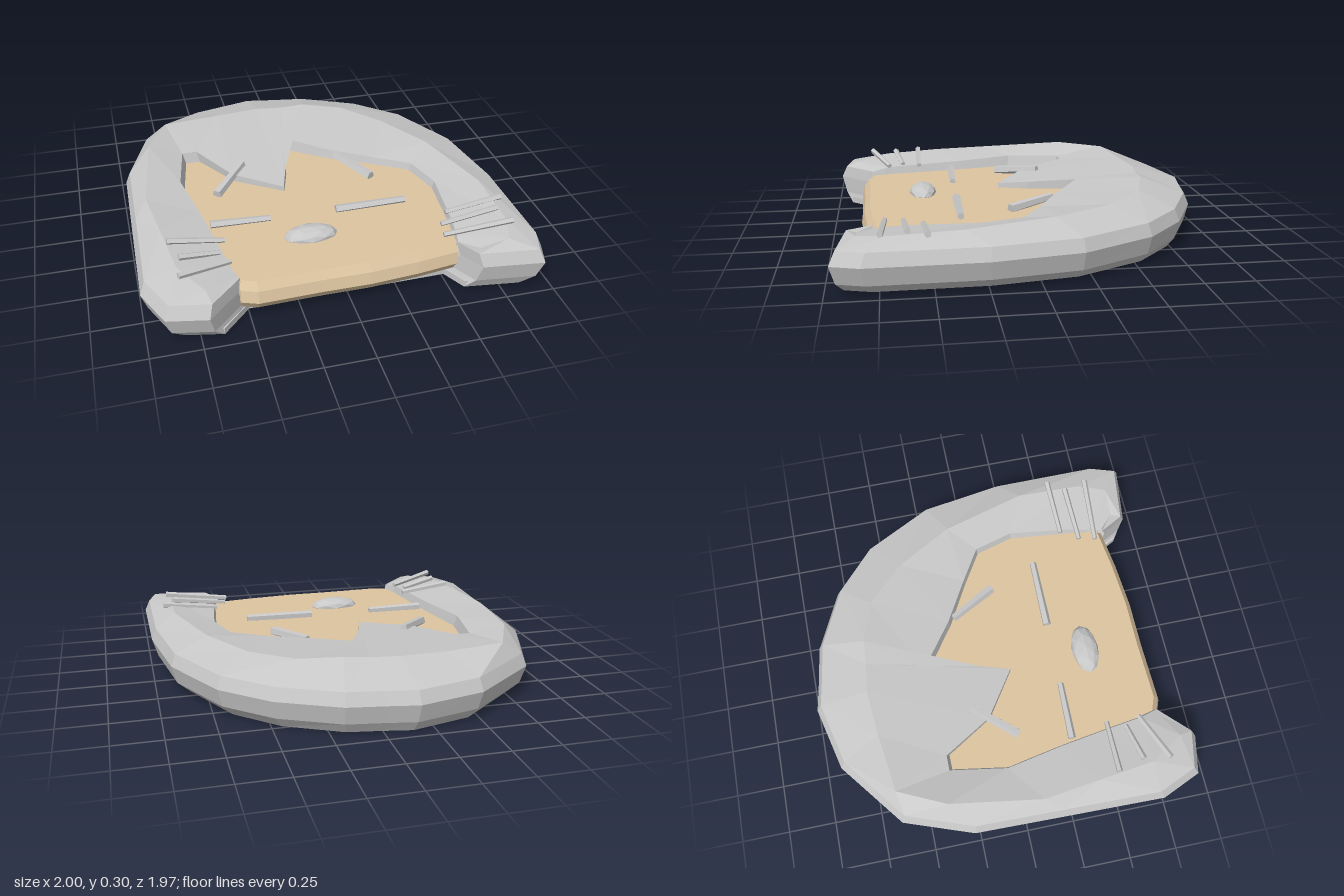
import * as THREE from 'three';

// Hair stations run from the left-hand foot, round the back, to the other foot.
// Outer outline as [x, z]
const OUTER = [
  [-0.55, 0.82], [-0.71, 0.98], [-0.91, 0.94], [-1, 0.73], [-0.99, 0.2], [-0.98, -0.28], [-0.85, -0.64],
  [-0.5, -0.91], [-0.16, -0.99], [0, -0.96], [0.19, -0.93], [0.5, -0.78], [0.73, -0.57], [0.92, -0.2],
  [0.99, 0.25], [0.995, 0.83], [0.95, 0.97], [0.64, 0.93], [0.57, 0.8],
];
// Crest of the hair as [x, y, z]
const RIDGE = [
  [-0.57, 0.22, 0.8], [-0.71, 0.24, 0.88], [-0.82, 0.26, 0.7], [-0.86, 0.27, 0.4], [-0.9, 0.27, 0.1],
  [-0.83, 0.3, -0.39], [-0.71, 0.29, -0.64], [-0.4, 0.285, -0.68], [-0.15, 0.29, -0.7], [0, 0.29, -0.68],
  [0.13, 0.3, -0.67], [0.35, 0.285, -0.6], [0.55, 0.27, -0.4], [0.72, 0.27, -0.1], [0.85, 0.265, 0.35],
  [0.85, 0.25, 0.7], [0.8, 0.24, 0.85], [0.65, 0.21, 0.85], [0.58, 0.2, 0.78],
];
// Hairline with its fringe as [x, y, z]
const INNER = [
  [-0.54, 0.21, 0.8], [-0.57, 0.23, 0.7], [-0.6, 0.235, 0.5], [-0.64, 0.24, 0.25], [-0.7, 0.25, -0.05],
  [-0.65, 0.25, -0.35], [-0.57, 0.25, -0.35], [-0.41, 0.23, -0.09], [-0.16, 0.215, 0.08], [-0.11, 0.23, -0.09],
  [-0.08, 0.26, -0.38], [0.17, 0.24, -0.2], [0.4, 0.23, -0.07], [0.58, 0.23, 0.04], [0.64, 0.23, 0.25],
  [0.6, 0.22, 0.6], [0.58, 0.21, 0.72], [0.57, 0.2, 0.77], [0.57, 0.2, 0.77],
];

// Skin a list of equal-length point rows; optional fans close row loops or the last row
function loft(rows, closedRows) {
  const n = rows[0].length, idx = [];
  for (let i = 0; i < rows.length - 1; i++)
    for (let j = 0; j < (closedRows ? n : n - 1); j++) {
      const k = (j + 1) % n, a = i * n + j, b = i * n + k, c = a + n, d = b + n;
      idx.push(a, b, c, b, d, c);
    }
  const g = new THREE.BufferGeometry();
  g.setAttribute('position', new THREE.Float32BufferAttribute(rows.flat(2), 3));
  g.setIndex(idx);
  return g;
}

function finish(geometry, material, name) {
  const g = geometry.index ? geometry.toNonIndexed() : geometry;
  g.computeVertexNormals();
  const mesh = new THREE.Mesh(g, material);
  mesh.name = name;
  return mesh;
}

export function createModel() {
  const model = new THREE.Group();
  model.name = 'faceRelief';
  const hairGrey = new THREE.MeshStandardMaterial({ color: 0xc8c8c8, flatShading: true, side: THREE.DoubleSide });
  hairGrey.name = 'light grey';
  const skin = new THREE.MeshStandardMaterial({ color: 0xdcc4a0, flatShading: true });
  skin.name = 'tan';

  // Hair: bevelled outer wall, crest, then down to the face
  const sections = OUTER.map(([x, z], i) => {
    const [ix, iy, iz] = INNER[i];
    return [
      [x * 0.9, 0, z * 0.94], [x * 0.97, 0.055, z * 0.975], [x, 0.15, z], [x * 0.975, 0.215, z * 0.97],
      RIDGE[i], [ix, iy, iz], [ix * 0.94, 0.1, 0.3 + (iz - 0.3) * 0.94],
    ];
  });
  model.add(finish(loft(sections, false), hairGrey, 'hair'));

  // Flat backing under the face
  const outline = new THREE.Shape(OUTER.map(([x, z]) => new THREE.Vector2(x * 0.9, -z * 0.94)));
  const backing = new THREE.ExtrudeGeometry(outline, { depth: 0.035, bevelEnabled: false });
  backing.rotateX(-Math.PI / 2);
  model.add(finish(backing, hairGrey, 'hairBacking'));

  // Face: bulging chin edge under a flat top
  const top = [
    [-0.54, 0.78], [-0.46, 0.81], [-0.15, 0.8], [0.1, 0.8], [0.35, 0.78], [0.57, 0.75], [0.7, 0.25],
    [0.65, -0.1], [0.1, -0.5], [-0.2, -0.45], [-0.65, -0.45], [-0.78, -0.05],
  ];
  const ring = (y, push) => top.map(([x, z]) => [x, y, z > 0.7 ? z + push : z]);
  const rows = [ring(0.04, 0.01), ring(0.09, 0.045), ring(0.15, 0.03), ring(0.19, 0)];
  model.add(finish(loft(rows, true), skin, 'faceEdge'));
  const plate = new THREE.ShapeGeometry(new THREE.Shape(top.map(([x, z]) => new THREE.Vector2(x, -z))));
  plate.rotateX(-Math.PI / 2).translate(0, 0.19, 0);
  model.add(finish(plate, skin, 'faceFront'));

  // Thin faceted strokes for brows, eyes and whiskers
  function stroke(name, from, to, r) {
    const a = new THREE.Vector3(...from), b = new THREE.Vector3(...to);
    const dir = b.clone().sub(a);
    const mesh = finish(new THREE.CylinderGeometry(r * 0.8, r, dir.length(), 5, 1), hairGrey, name);
    mesh.position.copy(a).add(b).multiplyScalar(0.5);
    mesh.quaternion.setFromUnitVectors(new THREE.Vector3(0, 1, 0), dir.normalize());
    model.add(mesh);
  }
  stroke('rightBrow', [-0.52, 0.205, 0.05], [-0.34, 0.245, -0.17], 0.027);
  stroke('leftBrow', [0.335, 0.205, 0.075], [0.195, 0.225, -0.165], 0.027);
  stroke('rightEye', [-0.6, 0.205, 0.32], [-0.29, 0.2, 0.33], 0.022);
  stroke('leftEye', [0.06, 0.2, 0.335], [0.44, 0.205, 0.34], 0.024);
  const whiskers = [
    [-0.84, 0.51, -0.56, 0.515], [-0.8, 0.65, -0.6, 0.61], [-0.82, 0.79, -0.56, 0.69],
    [0.9, 0.525, 0.59, 0.535], [0.84, 0.615, 0.53, 0.63], [0.87, 0.74, 0.51, 0.72],
  ];
  for (const [x0, z0, x1, z1] of whiskers) {
    const lift = x0 < 0 ? 0.015 : 0;
    stroke('whisker', [x0, 0.265 + lift, z0], [x1, 0.225 + lift, z1], 0.017);
  }

  // Nose
  const nose = finish(new THREE.IcosahedronGeometry(1, 1), hairGrey, 'nose');
  nose.scale.set(0.138, 0.048, 0.074);
  nose.position.set(-0.12, 0.192, 0.51);
  model.add(nose);

  return model;
}
